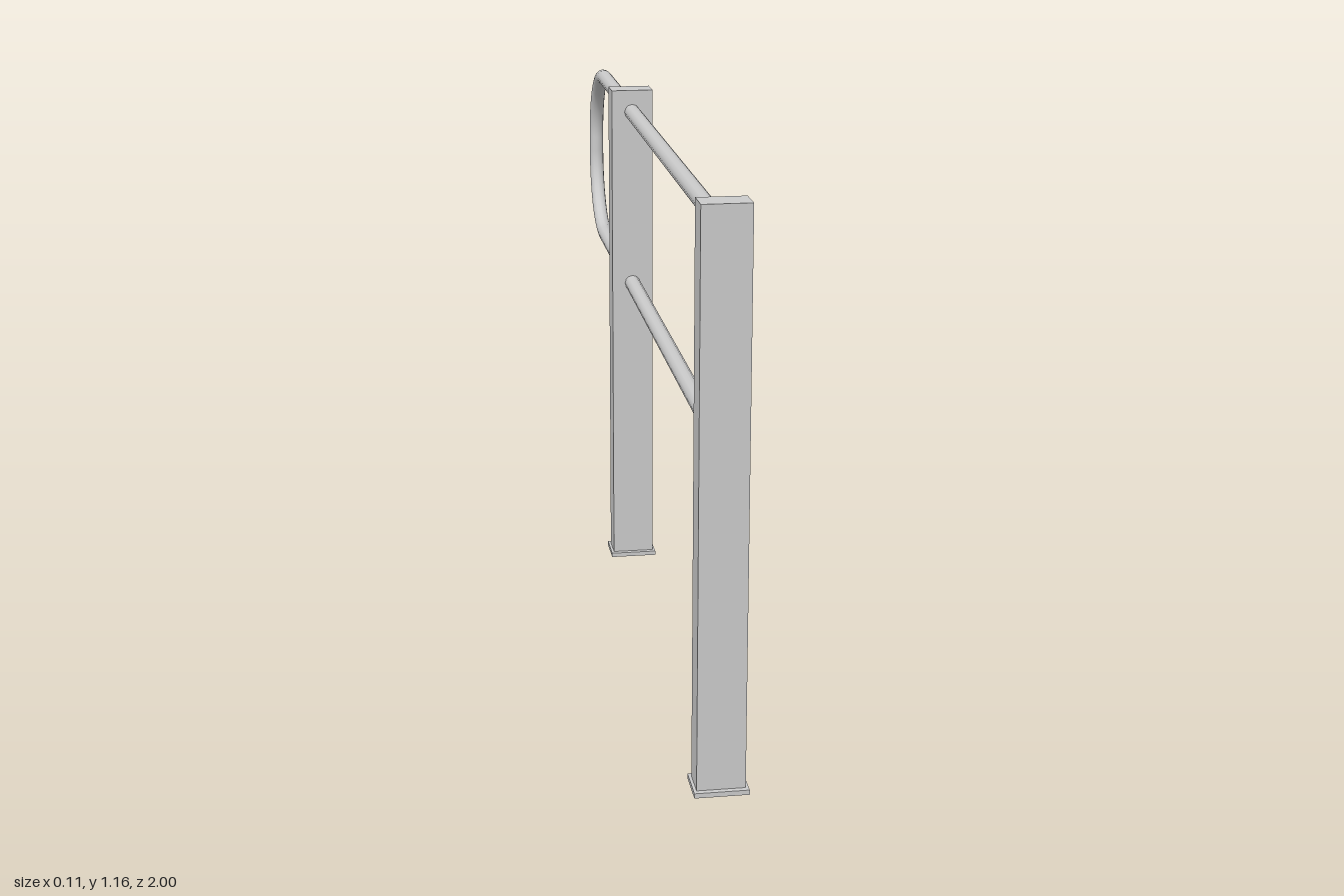
import * as THREE from 'three';

const material = new THREE.MeshStandardMaterial({ color: 0xcccccc });
const hollowMaterial = new THREE.MeshStandardMaterial({ color: 0xcccccc, side: THREE.DoubleSide });

const POST = { w: 0.096, h: 1.16, d: 0.062 };
const PLATE = { w: 0.108, h: 0.01, d: 0.084 };
const POST_Z = [0.958, -0.296];
const TUBE = 0.018, BEND = 0.187;
const RAIL_Y = [1.109, 0.697];
const BEND_Z = -1 + TUBE + BEND;

function addMesh(parent, name, geometry, mat = material) {
  const mesh = new THREE.Mesh(geometry, mat);
  mesh.name = name;
  parent.add(mesh);
  return mesh;
}

// Corners of a centred rectangle
function rectangle(w, d) {
  return [[-1, -1], [1, -1], [1, 1], [-1, 1]].map(([x, y]) => new THREE.Vector2(x * w / 2, y * d / 2));
}

// Hollow post, open at the bottom, standing in a thin rectangular collar
function createPost(name) {
  const post = new THREE.Group();
  post.name = name;

  const box = new THREE.BoxGeometry(POST.w, POST.h, POST.d);
  const index = Array.from(box.index.array);
  index.splice(18, 6); // bottom face
  box.setIndex(index);
  box.clearGroups();
  addMesh(post, 'postTube', box, hollowMaterial).position.y = POST.h / 2;

  const shape = new THREE.Shape(rectangle(PLATE.w, PLATE.d));
  shape.holes.push(new THREE.Path(rectangle(POST.w, POST.d).reverse()));
  const collar = new THREE.ExtrudeGeometry(shape, { depth: PLATE.h, bevelEnabled: false });
  collar.rotateX(-Math.PI / 2);
  addMesh(post, 'baseCollar', collar);
  return post;
}

// Straight tube between two points in the plane x = 0
function straightTube(y1, z1, y2, z2) {
  const path = new THREE.LineCurve3(new THREE.Vector3(0, y1, z1), new THREE.Vector3(0, y2, z2));
  return new THREE.TubeGeometry(path, 1, TUBE, 12, false);
}

export function createModel() {
  const model = new THREE.Group();
  model.name = 'handrail';

  POST_Z.forEach((z, i) => {
    const post = createPost(i === 0 ? 'frontPost' : 'middlePost');
    post.position.z = z;
    model.add(post);
  });

  // Two horizontal rails joined by a rounded return at the back
  const rail = new THREE.Group();
  rail.name = 'loopRail';
  model.add(rail);
  RAIL_Y.forEach((y, i) => {
    const level = i === 0 ? 'upper' : 'lower';
    addMesh(rail, level + 'Rail', straightTube(y, POST_Z[0] - POST.d / 2, y, BEND_Z));

    const bend = new THREE.TorusGeometry(BEND, TUBE, 12, 8, Math.PI / 2);
    if (i === 1) bend.rotateZ(-Math.PI / 2);
    bend.rotateY(Math.PI / 2);
    const arc = addMesh(rail, level + 'Bend', bend);
    arc.position.set(0, i === 0 ? y - BEND : y + BEND, BEND_Z);
  });
  addMesh(rail, 'endRail', straightTube(RAIL_Y[0] - BEND, BEND_Z - BEND, RAIL_Y[1] + BEND, BEND_Z - BEND));

  return model;
}
